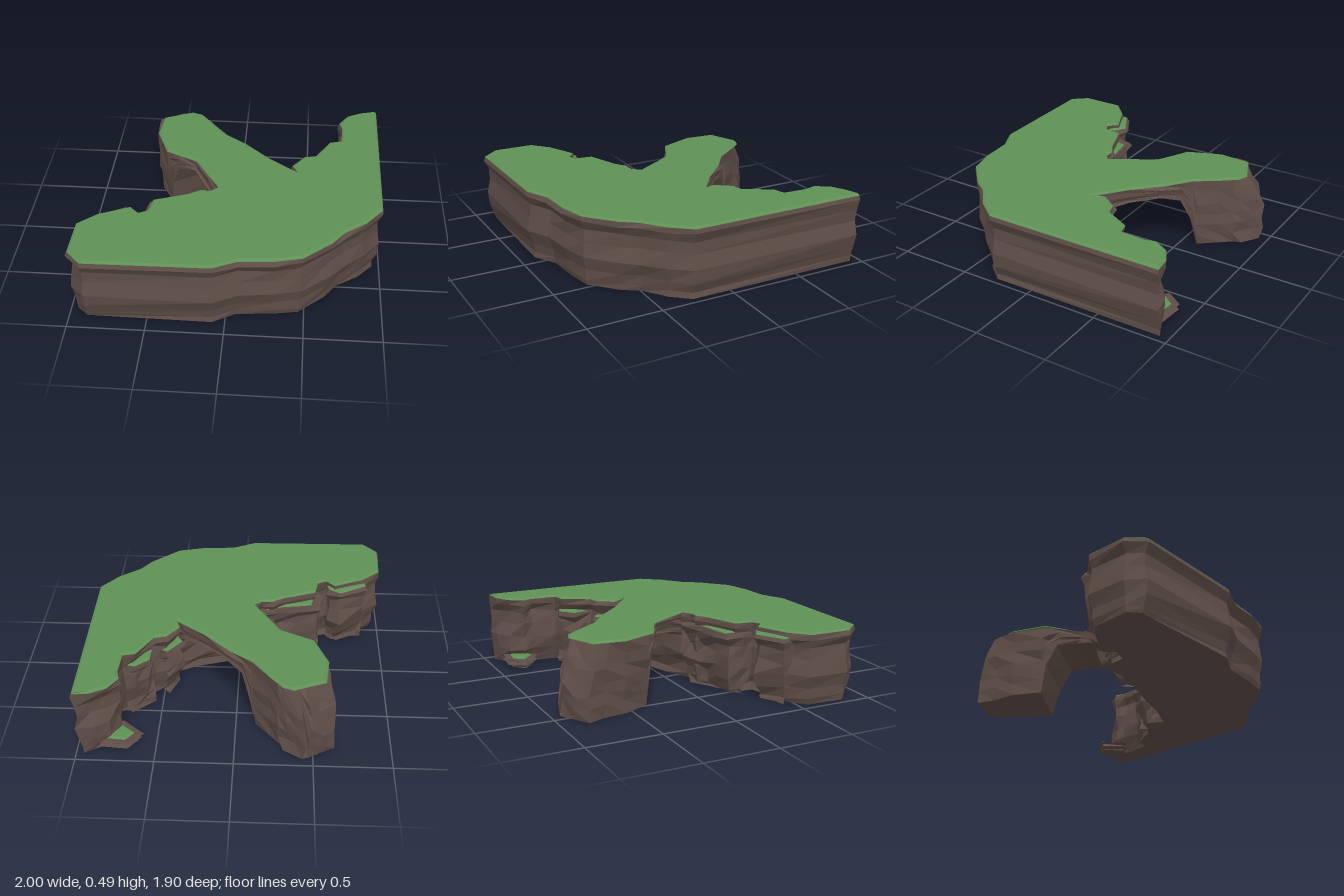
import * as THREE from 'three';

const rock = new THREE.MeshStandardMaterial({ color: 0x5e4d47, flatShading: true });
const grass = new THREE.MeshStandardMaterial({ color: 0x5f9056, flatShading: true });

// Repeatable noise in -1..1
let seed = 7;
const noise = () => {
  seed = (seed * 16807) % 2147483647;
  return (seed / 2147483647) * 2 - 1;
};

// Outline pieces as [x, z], running front, right, back, left
const front = [
  [-0.89, 0.935], [-0.08, 0.925], [0.08, 0.85], [0.3, 0.835], [0.48, 0.79], [0.66, 0.63],
  [0.74, 0.52], [0.88, 0.41], [0.99, 0.27], [0.99, -0.94],
];
const backLeft = [
  [0.88, -0.925], [0.78, -0.87], [0.72, -0.77], [0.74, -0.7], [0.73, -0.53], [0.65, -0.51],
  [0.55, -0.33], [0.47, -0.31], [0.39, -0.2], [0.44, -0.11],
];
const arm = [
  [0.22, -0.28], [0.05, -0.45], [-0.11, -0.57], [-0.22, -0.72], [-0.3, -0.82], [-0.37, -0.845],
  [-0.57, -0.76], [-0.59, -0.55], [-0.5, -0.32], [-0.28, -0.21],
];
const backRight = [
  [-0.1, 0.09], [-0.15, 0.13], [-0.22, 0.13], [-0.3, 0.18], [-0.52, 0.26], [-0.54, 0.38],
  [-0.6, 0.41], [-0.66, 0.35], [-0.86, 0.44], [-0.98, 0.55], [-0.985, 0.83],
];

// Skin through closed rings of equal length, with both ends capped by the given triangles
function skin(name, rings, caps, material) {
  const n = rings[0].length;
  const index = [];
  for (let s = 0; s < rings.length - 1; s++) {
    for (let k = 0; k < n; k++) {
      const a = s * n + k, b = s * n + ((k + 1) % n);
      index.push(a, b, b + n, a, b + n, a + n);
    }
  }
  const last = (rings.length - 1) * n;
  for (const [a, b, c] of caps) index.push(c, b, a, last + a, last + b, last + c);
  const geometry = new THREE.BufferGeometry();
  geometry.setAttribute('position', new THREE.Float32BufferAttribute(rings.flat(2), 3));
  geometry.setIndex(index);
  const flat = geometry.toNonIndexed();
  flat.computeVertexNormals();
  const mesh = new THREE.Mesh(flat, material);
  mesh.name = name;
  return mesh;
}

// Prism over an outline; each level is [height, outward offset], rough(i) the noise at corner i
function prism(name, outline, levels, rough, material) {
  const n = outline.length;
  const normals = outline.map((p, i) => {
    const a = outline[(i + n - 1) % n], b = outline[(i + 1) % n];
    const d = Math.hypot(b[0] - a[0], b[1] - a[1]);
    return [-(b[1] - a[1]) / d, (b[0] - a[0]) / d];
  });
  const rings = levels.map(([y, offset], j) => outline.map(([x, z], i) => {
    const inner = j > 0 && j < levels.length - 1;
    const o = offset + (j < levels.length - 1 ? rough(i) * noise() : 0);
    const py = y + (inner ? rough(i) * 0.6 * noise() : 0);
    const px = THREE.MathUtils.clamp(x + normals[i][0] * o, -1, 1);
    return [px, py, z + normals[i][1] * o];
  }));
  const points = outline.map(([x, z]) => new THREE.Vector2(x, z));
  const caps = THREE.ShapeUtils.triangulateShape(points, []).map(([a, b, c]) => {
    const u = points[b].clone().sub(points[a]), v = points[c].clone().sub(points[a]);
    return u.cross(v) < 0 ? [a, b, c] : [a, c, b];
  });
  return skin(name, rings, caps, material);
}

// Weathered cliff profile, with an optional undercut towards the base
const cliffLevels = (top, undercut = 0) => [
  [0, -0.04], [0.08, -0.035], [0.23, -0.022], [0.42, 0.002], [0.63, -0.018], [0.8, -0.02], [0.93, 0.012], [1, 0.002],
].map(([f, o]) => [f * top, o - undercut * (1 - f) ** 2]);
const turfLevels = (y) => [[y - 0.002, 0.002], [y + 0.003, 0], [y + 0.011, -0.016]];
const even = () => 0;

// Natural arch: stations of [left x, left z, right x, right z, underside height, lean of the top]
const stations = [
  [-0.02, 0.18, 0.46, -0.04, 0.22, 0],
  [-0.12, 0.06, 0.38, -0.14, 0.34, 0],
  [-0.19, -0.06, 0.22, -0.28, 0.38, 0],
  [-0.29, -0.2, 0.06, -0.44, 0.385, 0],
  [-0.41, -0.28, -0.04, -0.52, 0.35, 0],
  [-0.46, -0.32, -0.1, -0.57, 0.2, 0],
  [-0.49, -0.36, -0.12, -0.6, 0, 0],
  [-0.58, -0.55, -0.22, -0.72, 0, 0],
  [-0.61, -0.7, -0.28, -0.81, 0, 0.03],
  [-0.63, -0.82, -0.32, -0.86, 0, 0.09],
  [-0.55, -0.89, -0.38, -0.91, 0, 0.11],
  [-0.48, -0.935, -0.44, -0.94, 0, 0.11],
];

function buildArch() {
  const steps = 6;
  const rings = stations.map(([lx, lz, rx, rz, low, lean]) => {
    const ring = [];
    const wall = (x, z, down) => {
      for (let i = 0; i <= steps; i++) {
        const f = down ? 1 - i / steps : i / steps;
        const wobble = f < 1 ? 0.016 : 0;
        const tilt = lean * f ** 3;
        const y = low + (0.475 - low) * f + (f > 0 && f < 1 ? 0.015 * noise() : 0);
        ring.push([x + wobble * noise() + tilt * 0.4, y, z + wobble * noise() + tilt * 0.9]);
      }
    };
    wall(rx, rz, true);
    wall(lx, lz, false);
    return ring;
  });
  const caps = [];
  for (let k = 1; k < rings[0].length - 1; k++) caps.push([0, k, k + 1]);
  return skin('archRock', rings, caps, rock);
}

// Outcrops on the broken back faces: outline, height, share of the top under turf, undercut
const ledges = [
  [[[-0.88, 0.5], [-0.6, 0.45], [-0.62, 0.36], [-0.7, 0.31], [-0.88, 0.41]], 0.44, 1, 0.02],
  [[[-0.55, 0.37], [-0.3, 0.27], [-0.13, 0.17], [-0.11, 0.09], [-0.28, 0.15], [-0.4, 0.165], [-0.55, 0.19], [-0.57, 0.3]], 0.41, 0.7, 0.03],
  [[[0.73, -0.69], [0.85, -0.75], [0.85, -0.88], [0.68, -0.9], [0.6, -0.8]], 0.06, 0.7, -0.02],
  [[[0.57, -0.33], [0.75, -0.5], [0.66, -0.52], [0.57, -0.44]], 0.38, 1, 0.02],
  [[[0.44, -0.1], [0.53, -0.3], [0.47, -0.33], [0.37, -0.2]], 0.36, 0.9, 0.03],
];

// Outline shrunk about its middle
function shrink(outline, s) {
  const middle = (axis) => outline.reduce((sum, p) => sum + p[axis], 0) / outline.length;
  const cx = middle(0), cz = middle(1);
  return outline.map(([x, z]) => [cx + (x - cx) * s, cz + (z - cz) * s]);
}

export function createModel() {
  const group = new THREE.Group();
  group.name = 'cliffWithArch';

  // Main cliff, recessed under the root of the arch and rougher along the back
  const base = [...front, ...backLeft, [0.28, -0.01], [0.1, 0.04], ...backRight];
  const rough = (i) => (i >= front.length && i < base.length - 2 ? 0.024 : 0.011);
  group.add(prism('cliffRock', base, cliffLevels(0.475), rough, rock));
  group.add(buildArch());

  // Turf over cliff and arch
  group.add(prism('grassTop', [...front, ...backLeft, ...arm, ...backRight], turfLevels(0.476), even, grass));

  // Outcrops with turf patches
  for (const [outline, top, share, undercut] of ledges) {
    const ledge = new THREE.Group();
    ledge.name = 'ledge';
    const ledgeRough = Math.min(0.022, top * 0.15);
    ledge.add(prism('ledgeRock', outline, cliffLevels(top, undercut), () => ledgeRough, rock));
    ledge.add(prism('ledgeGrass', shrink(outline, share), turfLevels(top), even, grass));
    group.add(ledge);
  }
  return group;
}
